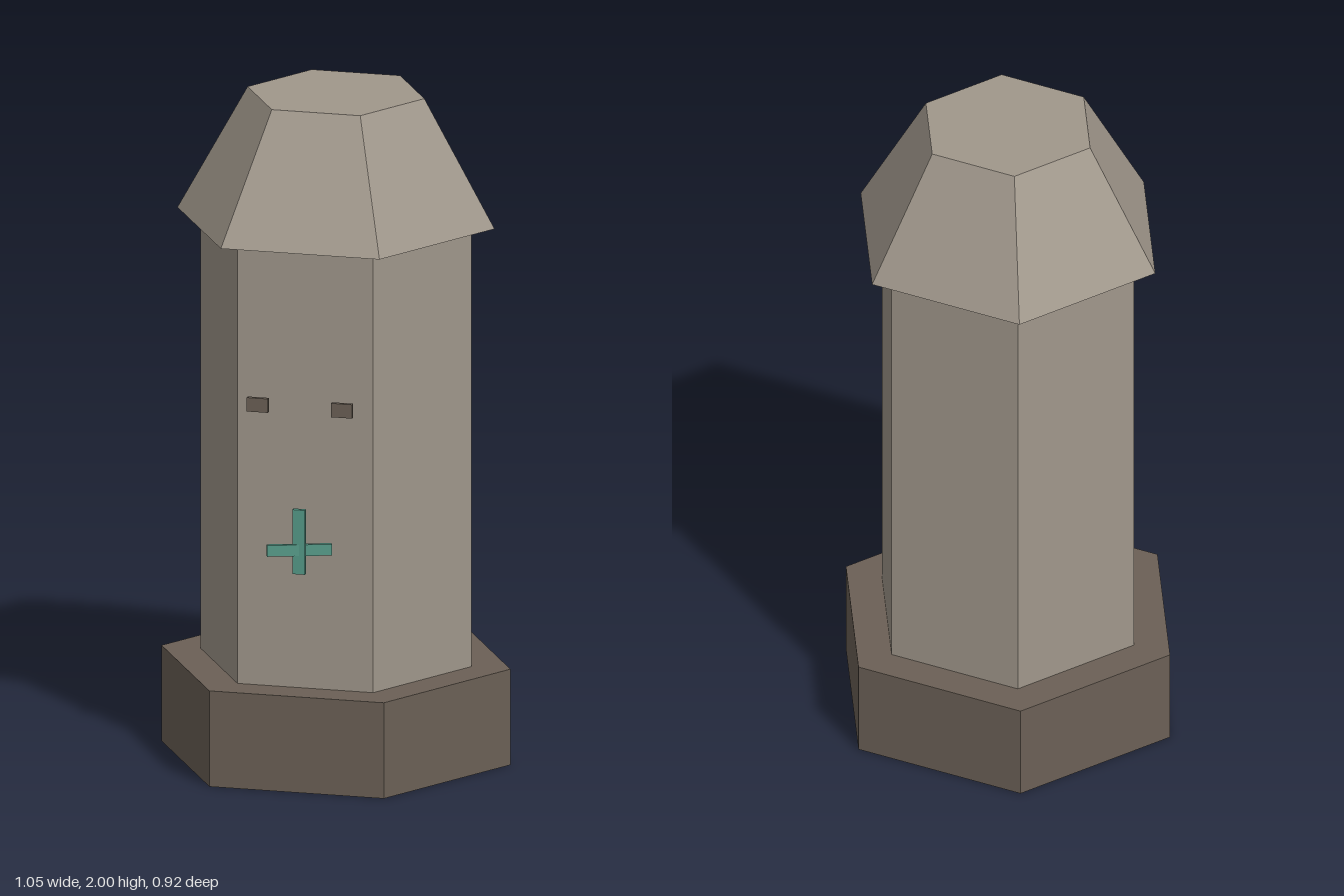
import * as THREE from 'three';

const CENTRE_Z = -0.003;

export function createModel() {
  const model = new THREE.Group();
  model.name = 'hexagonalPillar';

  const material = (color) => new THREE.MeshStandardMaterial({ color, flatShading: true });
  const stone = material(0xa0978b);
  const darkStone = material(0x6b6056);
  const green = material(0x559a88);

  const add = (name, geometry, mat, x, y, z) => {
    const mesh = new THREE.Mesh(geometry, mat);
    mesh.name = name;
    mesh.position.set(x, y, z);
    model.add(mesh);
    return mesh;
  };

  // Six-sided section with a flat face towards the front
  const hexagon = (name, topRadius, bottomRadius, y0, y1, mat) =>
    add(name,
      new THREE.CylinderGeometry(topRadius, bottomRadius, y1 - y0, 6, 1, false, Math.PI / 6),
      mat, 0, (y0 + y1) / 2, CENTRE_Z);

  hexagon('base', 0.527, 0.527, 0, 0.29, darkStone);
  hexagon('shaft', 0.41, 0.41, 0.29, 1.62, stone);
  hexagon('cap', 0.267, 0.479, 1.62, 2, stone);

  // Pair of small slots standing just off the front face
  for (const side of [-1, 1]) {
    add(side > 0 ? 'leftEye' : 'rightEye',
      new THREE.BoxGeometry(0.064, 0.042, 0.013), darkStone, side * 0.127, 1.156, 0.415);
  }

  // Cross: upright bar and a crossbar turned about the vertical
  add('crossUpright', new THREE.BoxGeometry(0.038, 0.195, 0.014), green, 0, 0.752, 0.423);
  const crossbar = add('crossbar', new THREE.BoxGeometry(0.19, 0.034, 0.014), green, 0, 0.727, 0.423);
  crossbar.rotation.y = 0.33;

  return model;
}
